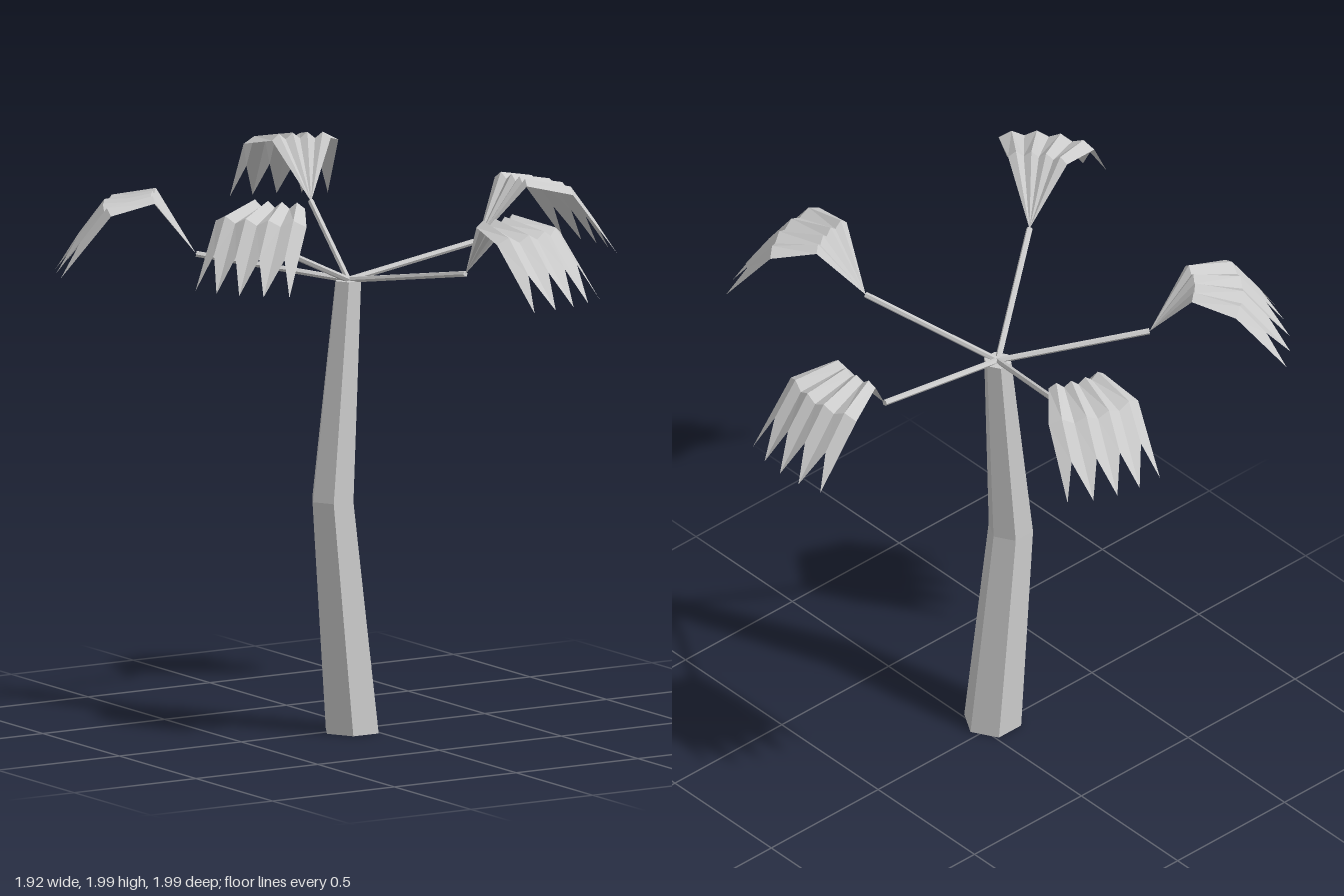
import * as THREE from 'three';

const grey = new THREE.MeshStandardMaterial({ color: 0xcccccc, flatShading: true, side: THREE.DoubleSide });
grey.name = 'light grey';

// Six-sided bent trunk: bottom, bend and top rings as [x, y, z, radius]
function trunkGeometry() {
  const rings = [[-0.063, 0, 0.03, 0.104], [-0.13, 0.82, 0.01, 0.081], [-0.06, 1.59, 0, 0.05]];
  const geo = new THREE.CylinderGeometry(1, 1, 2, 6, 2, false, Math.PI / 6);
  const p = geo.attributes.position;
  for (let i = 0; i < p.count; i++) {
    const [x, y, z, r] = rings[Math.round(p.getY(i) + 1)];
    p.setXYZ(i, x + p.getX(i) * r, y, z + p.getZ(i) * r);
  }
  geo.computeVertexNormals();
  return geo;
}

// Pleated fan leaf pointing along +x from its stalk end, with five drooping spikes
function leafGeometry() {
  const columns = 9, positions = [], index = [];
  // Each row: [reach, height, half width, pull-back at the sides]
  const rows = [[0, 0, 0, 0], [0.157, 0.205, 0.105, 0.02], [0.325, 0.17, 0.17, 0.04]];
  const tip = [0.49, -0.06, 0.176, 0.03], notch = [0.415, 0.06, 0.176, 0.035];
  for (let r = 0; r < 4; r++) {
    for (let c = 0; c < columns; c++) {
      const t = c / 4 - 1, fold = c % 2;
      const [x, y, w, back] = r < 3 ? rows[r] : fold ? notch : tip;
      const pleat = r === 1 || r === 2 ? (fold ? 0.012 : -0.01) : 0;
      positions.push(x - back * t * t, y + pleat, w * t);
    }
  }
  for (let r = 0; r < 3; r++) {
    for (let c = 0; c < columns - 1; c++) {
      const a = r * columns + c, b = a + 1, d = a + columns, e = d + 1;
      if (r > 0) index.push(a, b, c % 2 ? d : e);
      if (r === 0) index.push(a, e, d);
      else if (c % 2) index.push(b, e, d);
      else index.push(a, e, d);
    }
  }
  const geo = new THREE.BufferGeometry();
  geo.setAttribute('position', new THREE.Float32BufferAttribute(positions, 3));
  geo.setIndex(index);
  const flat = geo.toNonIndexed();
  flat.computeVertexNormals();
  return flat;
}

function addMesh(parent, name, geo) {
  const mesh = new THREE.Mesh(geo, grey);
  mesh.name = name;
  parent.add(mesh);
  return mesh;
}

export function createModel() {
  const tree = new THREE.Group();
  tree.name = 'palmTree';
  addMesh(tree, 'trunk', trunkGeometry());

  // Five fronds around the trunk top, alternately low and high
  const leaf = leafGeometry();
  for (let i = 0; i < 5; i++) {
    const frond = new THREE.Group();
    frond.name = 'frond';
    frond.position.set(-0.06, 1.59, 0);
    frond.rotation.y = (i * Math.PI * 2) / 5;
    const reach = 0.53, rise = i % 2 ? 0.18 : 0.085;

    const stalk = addMesh(frond, 'stalk', new THREE.CylinderGeometry(0.011, 0.011, Math.hypot(reach, rise), 6));
    stalk.position.set(reach / 2, rise / 2, 0);
    stalk.rotation.z = Math.atan2(rise, reach) - Math.PI / 2;

    addMesh(frond, 'leaf', leaf).position.set(reach, rise, 0);
    tree.add(frond);
  }
  return tree;
}
